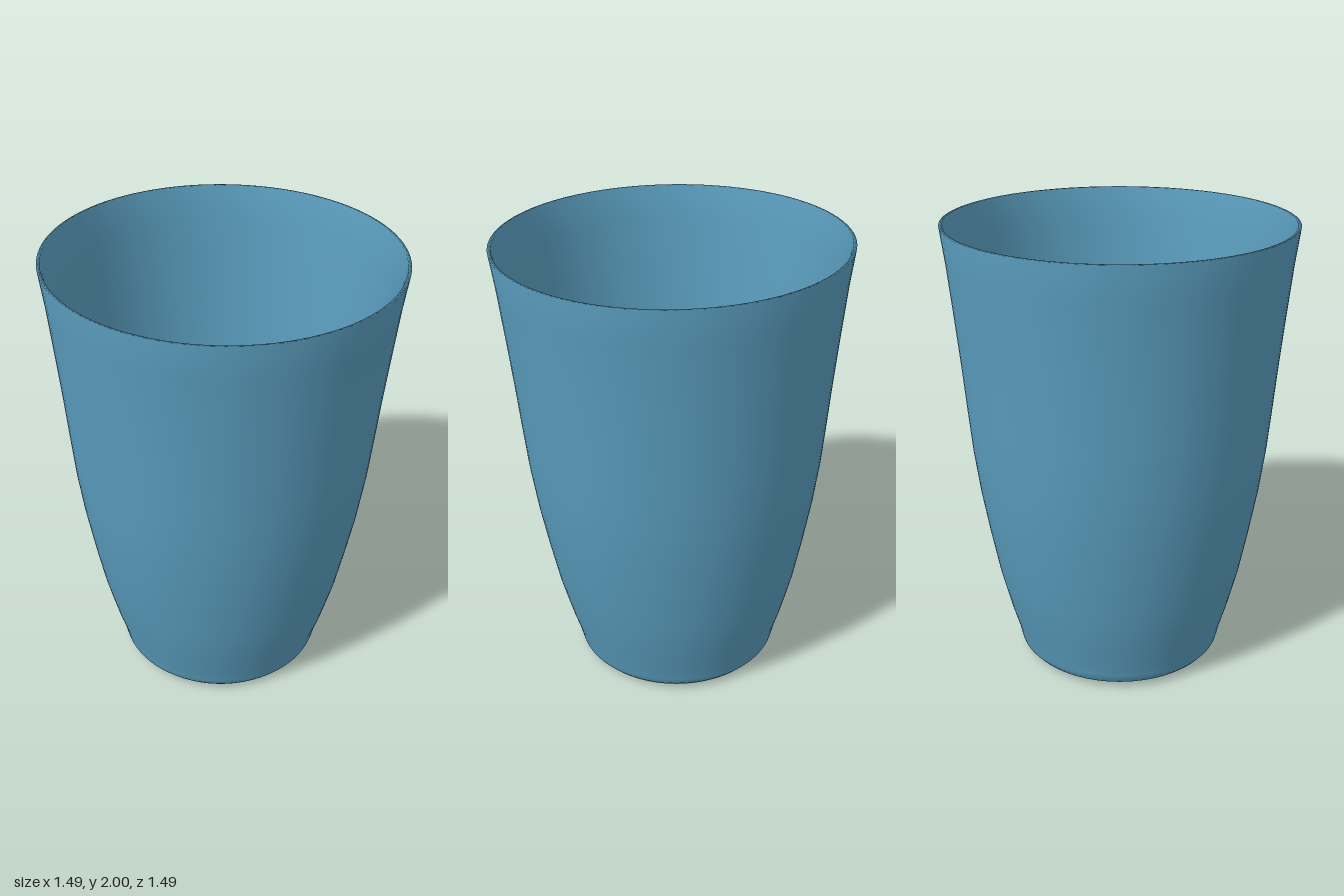
import * as THREE from 'three';

const SEGMENTS = 96;

// Smooth surface of revolution from [radius, height] pairs
function revolve(name, points, material) {
  const profile = points.map(([r, y]) => new THREE.Vector2(r, y));
  const mesh = new THREE.Mesh(new THREE.LatheGeometry(profile, SEGMENTS), material);
  mesh.name = name;
  return mesh;
}

export function createModel() {
  const blue = new THREE.MeshStandardMaterial({ color: 0x5a9dbe, side: THREE.DoubleSide });
  blue.name = 'cupBlue';

  const cup = new THREE.Group();
  cup.name = 'cup';

  // Outer wall, thin lip and inner wall as one shell with a softly shaded rim
  cup.add(revolve('wall', [
    [0, 0], [0.38, 0], [0.42, 0.003], [0.448, 0.014], [0.464, 0.033], [0.471, 0.06],
    [0.479, 0.1], [0.508, 0.2], [0.533, 0.3], [0.557, 0.4], [0.594, 0.6],
    [0.627, 0.8], [0.652, 1], [0.669, 1.2], [0.685, 1.4], [0.703, 1.6],
    [0.725, 1.83], [0.744, 1.984],
    [0.73, 1.984], [0.711, 1.83], [0.689, 1.6], [0.671, 1.4], [0.655, 1.2],
    [0.638, 1], [0.612, 0.8], [0.577, 0.6], [0.538, 0.4], [0.513, 0.3],
    [0.487, 0.2], [0.458, 0.09],
  ], blue));

  // Shallow dished floor meeting the inner wall at a crisp edge
  cup.add(revolve('floor', [
    [0, 0.03], [0.15, 0.035], [0.3, 0.052], [0.4, 0.073], [0.458, 0.09],
  ], blue));

  // The cup leans very slightly
  cup.rotation.set(0.0135, 0, -0.006);
  cup.position.set(-0.012, 0.006, -0.029);

  const model = new THREE.Group();
  model.name = 'tumbler';
  model.add(cup);
  return model;
}
